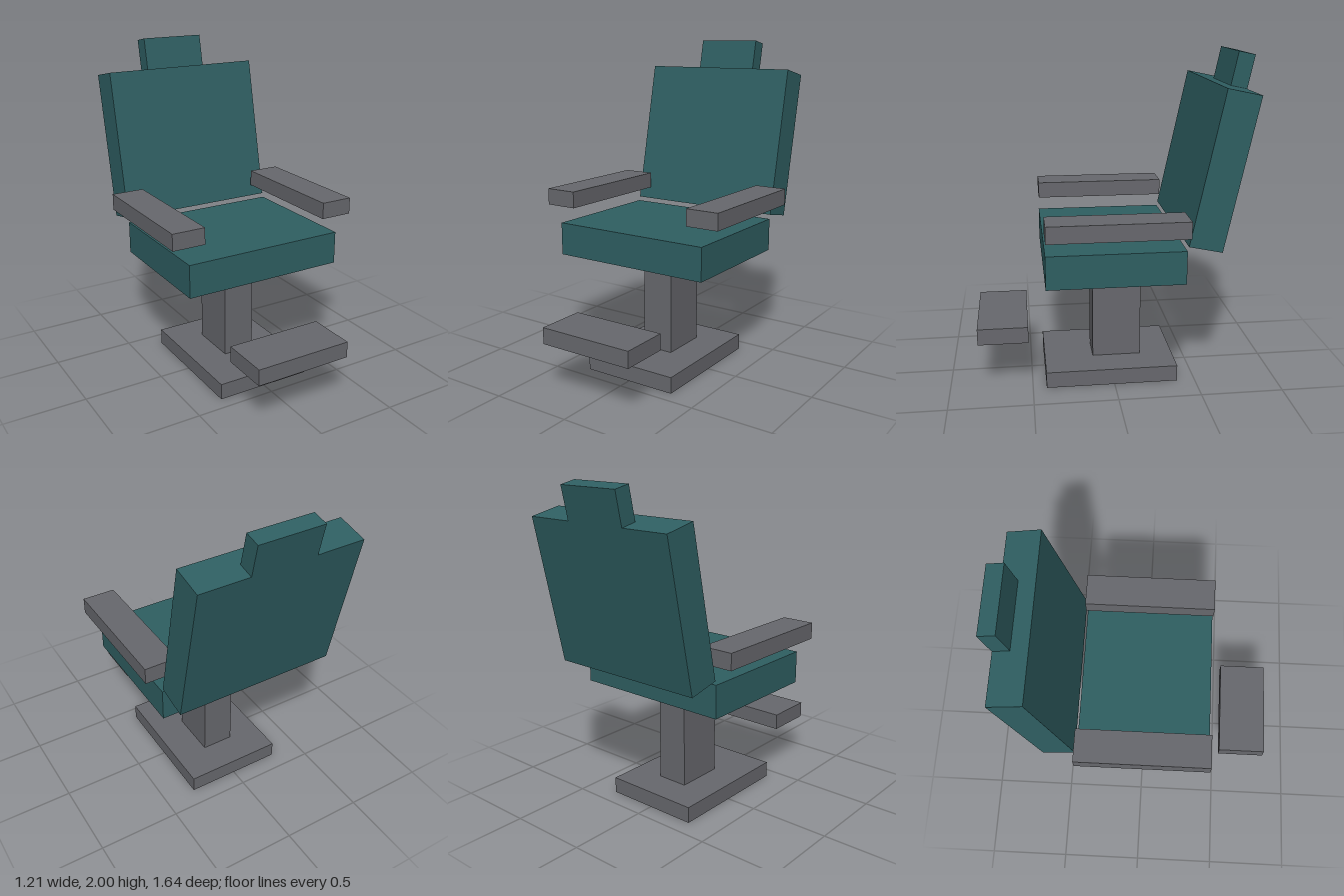
import * as THREE from 'three';

export function createModel() {
  const chair = new THREE.Group();
  chair.name = 'reclinedChair';

  const upholstery = new THREE.MeshStandardMaterial({ color: 0x2f5f62 });
  upholstery.name = 'teal upholstery';
  const metal = new THREE.MeshStandardMaterial({ color: 0x67686d });
  metal.name = 'grey metal';

  function addBox(name, material, [w, h, d], [x, y, z], tilt = 0) {
    const mesh = new THREE.Mesh(new THREE.BoxGeometry(w, h, d), material);
    mesh.name = name;
    mesh.position.set(x, y, z);
    mesh.rotation.x = tilt;
    chair.add(mesh);
  }

  // Pedestal and footrest
  addBox('basePlate', metal, [0.61, 0.1, 0.807], [0, 0.05, 0.014]);
  addBox('post', metal, [0.2, 0.614, 0.302], [0, 0.407, -0.036]);
  addBox('footrest', metal, [0.608, 0.1, 0.302], [0, 0.355, 0.671]);

  // Seat, with the backrest and headrest leaning back together
  const lean = -0.208;
  addBox('seat', upholstery, [1.008, 0.2, 0.807], [0, 0.812, 0.014]);
  addBox('backrest', upholstery, [1.008, 0.908, 0.2], [0, 1.361, -0.588], lean);
  addBox('headrest', upholstery, [0.403, 0.2, 0.1], [0, 1.892, -0.752], lean);

  // Floating armrests
  for (const [name, side] of [['leftArmrest', 1], ['rightArmrest', -1]]) {
    addBox(name, metal, [0.201, 0.1, 0.807], [side * 0.504, 1.065, 0.014]);
  }

  return chair;
}
